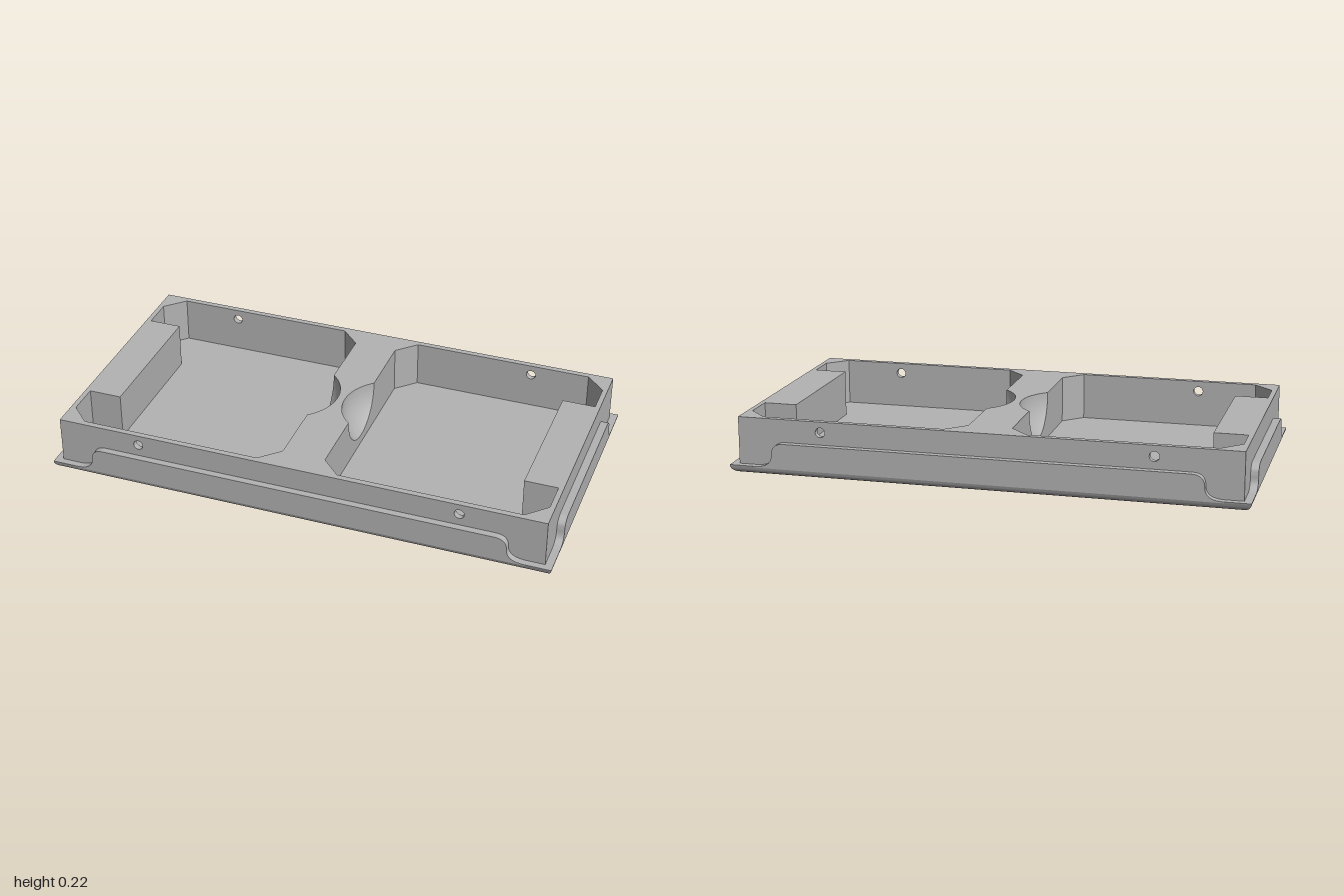
import * as THREE from 'three';
import { toCreasedNormals } from 'three/addons/utils/BufferGeometryUtils.js';

const FLOOR = 0.035, TOP = 0.22;          // pocket floor and rim heights
const BX = 0.97, BZ = 0.508, IZ = 0.485;  // body half sizes, inner wall face
const OX = 1.0, OZ = 0.535;               // base half sizes

// Solid from stacked loops of [x, z] points, one loop per height
function loft(levels) {
  const flip = THREE.ShapeUtils.area(levels.at(-1).loop.map(([x, z]) => new THREE.Vector2(x, -z))) < 0;
  const loops = levels.map(l => (flip ? [...l.loop].reverse() : l.loop));
  const n = loops[0].length, pos = [], idx = [];
  loops.forEach((loop, k) => loop.forEach(([x, z]) => pos.push(x, levels[k].y, z)));
  for (let k = 0; k < loops.length - 1; k++) {
    for (let i = 0; i < n; i++) {
      const a = k * n + i, b = k * n + (i + 1) % n;
      idx.push(a, b, b + n, a, b + n, a + n);
    }
  }
  const top = (loops.length - 1) * n;
  const cap = THREE.ShapeUtils.triangulateShape(loops.at(-1).map(([x, z]) => new THREE.Vector2(x, -z)), []);
  for (const [a, b, c] of cap) idx.push(top + a, top + b, top + c, c, b, a);
  const g = new THREE.BufferGeometry();
  g.setAttribute('position', new THREE.Float32BufferAttribute(pos, 3));
  g.setIndex(idx);
  return toCreasedNormals(g, 0.6);
}

const rect = (x, z) => [[-x, z], [x, z], [x, -z], [-x, -z]];

// Base slab with a rounded lower edge
function baseGeometry() {
  const levels = [];
  for (let i = 0; i <= 8; i++) {
    const a = i / 8 * Math.PI / 2, inset = FLOOR * (1 - Math.sin(a)) * 1.2;
    levels.push({ y: FLOOR * (1 - Math.cos(a)), loop: rect(OX - inset, OZ - inset) });
  }
  return loft(levels);
}

// Divider between the pockets, with a spherical finger scoop on each side
function dividerGeometry() {
  const wall = 0.085, R = 0.196, cx = 0.211, d = cx - wall;
  const maxDrop = Math.sqrt(R * R - d * d);
  const loopAt = y => {
    const r2 = R * R - (TOP - y) ** 2;
    const h = Math.sqrt(Math.max(0, r2 - d * d));
    const side = [[0.16, -IZ], [wall, -0.41]];
    for (let i = 0; i <= 24; i++) {
      const z = -h * Math.cos(i / 24 * Math.PI);
      side.push([Math.min(wall, cx - Math.sqrt(Math.max(d * d, r2 - z * z))), z]);
    }
    side.push([wall, 0.41], [0.16, IZ]);
    return [...side, ...side.map(([x, z]) => [-x, -z])];
  };
  const levels = [{ y: 0.03, loop: loopAt(0.03) }];
  for (let i = 0; i <= 12; i++) {
    const y = TOP - maxDrop * Math.cos(i / 12 * Math.PI / 2);
    levels.push({ y, loop: loopAt(y) });
  }
  return loft(levels);
}

// End wall with its raised block and the two chamfered pocket corners
function endGeometry(s) {
  const half = [[BX, IZ], [0.875, IZ], [0.95, 0.41], [0.95, 0.285], [0.82, 0.285]];
  const mirrored = half.map(([x, z]) => [x, -z]).reverse();
  const loop = [...half, ...mirrored].map(([x, z]) => [s * x, z]);
  return loft([{ y: 0.03, loop }, { y: TOP, loop }]);
}

// Long wall with two round through holes
function longWallGeometry() {
  const s = new THREE.Shape();
  s.moveTo(-BX, 0.03).lineTo(BX, 0.03).lineTo(BX, TOP).lineTo(-BX, TOP).closePath();
  for (const x of [-0.64, 0.64]) s.holes.push(new THREE.Path().absarc(x, 0.178, 0.019, 0, Math.PI * 2, true));
  const g = new THREE.ExtrudeGeometry(s, { depth: BZ - IZ, bevelEnabled: false, curveSegments: 24 });
  return toCreasedNormals(g.translate(0, 0, IZ), 0.6);
}

// Raised outer flange with S-curved ends
function flangeGeometry(foot, mid, top, from, to) {
  const s = new THREE.Shape(), y = 0.035, m = 0.083, h = 0.13;
  s.moveTo(-foot, 0.03).lineTo(foot, 0.03).lineTo(foot, y);
  s.quadraticCurveTo(mid, y, mid, m).quadraticCurveTo(mid, h, top, h);
  s.lineTo(-top, h);
  s.quadraticCurveTo(-mid, h, -mid, m).quadraticCurveTo(-mid, y, -foot, y);
  s.closePath();
  const g = new THREE.ExtrudeGeometry(s, { depth: to - from, bevelEnabled: false, curveSegments: 10 });
  return toCreasedNormals(g.translate(0, 0, from), 0.6);
}

export function createModel() {
  const model = new THREE.Group();
  model.name = 'tray';
  const grey = new THREE.MeshStandardMaterial({ color: 0xb3b3b3 });
  grey.name = 'grey';
  const add = (name, geometry, turn = 0) => {
    const mesh = new THREE.Mesh(geometry, grey);
    mesh.name = name;
    mesh.rotation.y = turn;
    model.add(mesh);
  };

  add('base', baseGeometry());
  add('divider', dividerGeometry());
  add('leftEnd', endGeometry(1));
  add('rightEnd', endGeometry(-1));

  const wall = longWallGeometry();
  const longFlange = flangeGeometry(0.9, 0.83, 0.78, BZ - 0.005, OZ);
  const shortFlange = flangeGeometry(0.41, 0.355, 0.305, BX - 0.005, OX);
  ['front', 'back'].forEach((side, i) => {
    add(side + 'Wall', wall, i * Math.PI);
    add(side + 'Flange', longFlange, i * Math.PI);
  });
  ['left', 'right'].forEach((side, i) => add(side + 'Flange', shortFlange, Math.PI / 2 + i * Math.PI));
  return model;
}
